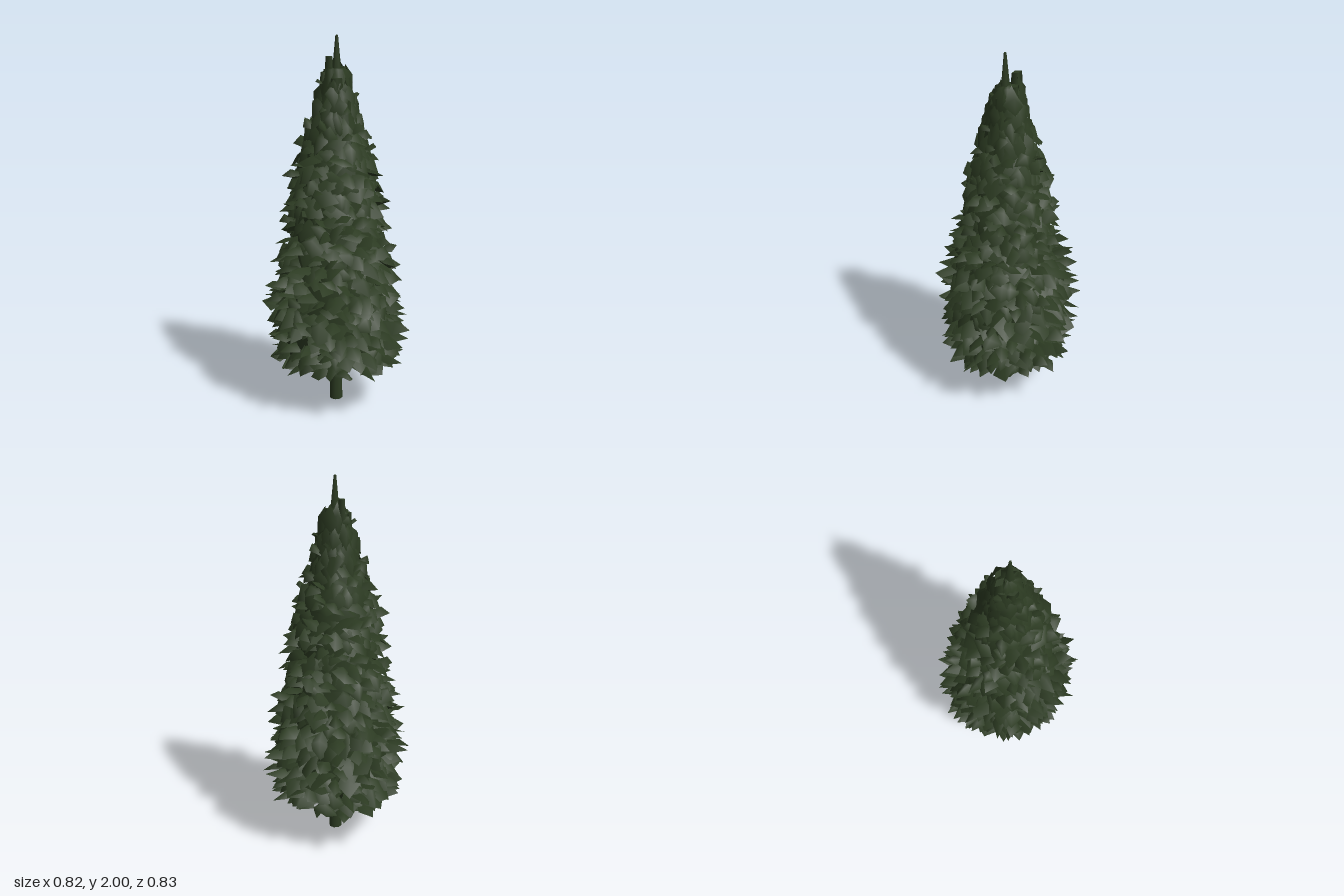
import * as THREE from 'three';

const CX = -0.01, CZ = 0.0;

// outer reach of the branches: [height, radius]
const OUTLINE = [
  [0.24, 0.36], [0.32, 0.40], [0.48, 0.42], [0.66, 0.40], [0.8, 0.385], [0.92, 0.335], [1.08, 0.30],
  [1.28, 0.285], [1.38, 0.245], [1.5, 0.205], [1.62, 0.155], [1.75, 0.12], [1.82, 0.09], [1.9, 0.05],
];

function reach(y) {
  if (y <= OUTLINE[0][0]) return OUTLINE[0][1];
  for (let i = 1; i < OUTLINE.length; i++) {
    const [y0, r0] = OUTLINE[i - 1], [y1, r1] = OUTLINE[i];
    if (y <= y1) return r0 + (r1 - r0) * (y - y0) / (y1 - y0);
  }
  return OUTLINE[OUTLINE.length - 1][1];
}

function seeded(seed) {
  return () => {
    seed = (seed * 1664525 + 1013904223) >>> 0;
    return seed / 4294967296;
  };
}

// one ring of folded, pointed sprays
function sprayRing(y, count, rand) {
  const pos = [], index = [];
  const vary = (a, b) => a + (b - a) * rand();
  const R = reach(y);
  const steep = THREE.MathUtils.smoothstep(y, 1.25, 1.7);
  for (let i = 0; i < count; i++) {
    const angle = (i + vary(-0.45, 0.45)) / count * Math.PI * 2;
    const spike = rand() < 0.22;
    const tipR = R * (spike ? vary(0.92, 1.04) : vary(0.74, 0.93));
    const rootR = R * vary(0.42, 0.62);
    const drop = spike ? vary(-0.03, 0.05) : vary(0.02, 0.13) + steep * 0.05;
    const half = (spike ? vary(0.035, 0.055) : vary(0.05, 0.085)) * (1 - 0.35 * steep);
    const twist = vary(-0.6, 0.6);
    const fold = vary(0.01, 0.04);
    const rise = y + vary(-0.03, 0.03) + drop * 0.5;
    const base = pos.length / 3;
    // along: root to tip, side: across the spray, lift: above it
    const put = (along, side, lift) => {
      const r = rootR + (tipR - rootR) * along + lift * 0.6;
      const s = side * Math.cos(twist);
      const h = Math.max(0.235, Math.min(1.9, rise - drop * along + lift + side * Math.sin(twist)));
      pos.push(CX + Math.cos(angle) * r - Math.sin(angle) * s, h,
        CZ + Math.sin(angle) * r + Math.cos(angle) * s);
    };
    put(0, 0, 0);
    put(vary(0.4, 0.7), half, -fold * 0.4);
    put(0.55, 0, fold);
    put(vary(0.4, 0.7), -half, -fold * 0.4);
    put(1, vary(-0.02, 0.02), 0);
    for (const [a, b, c] of [[0, 1, 2], [0, 2, 3], [1, 4, 2], [2, 4, 3]]) {
      index.push(base + a, base + c, base + b);
    }
  }
  const geo = new THREE.BufferGeometry();
  geo.setAttribute('position', new THREE.Float32BufferAttribute(pos, 3));
  geo.setIndex(index);
  geo.computeVertexNormals();
  return geo;
}

export function createModel() {
  const tree = new THREE.Group();
  tree.name = 'coniferTree';
  const green = new THREE.MeshStandardMaterial({ color: 0x2c3b22, side: THREE.DoubleSide });
  green.name = 'dark needle green';
  const add = (geo, name, x = CX, y = 0, z = CZ) => {
    const mesh = new THREE.Mesh(geo, green);
    mesh.name = name;
    mesh.position.set(x, y, z);
    tree.add(mesh);
    return mesh;
  };

  // trunk
  add(new THREE.CylinderGeometry(0.026, 0.036, 0.6, 8), 'trunk', CX, 0.3, CZ + 0.005);

  // leader shoot at the top
  add(new THREE.CylinderGeometry(0.007, 0.033, 0.26, 5), 'topShoot', CX, 1.87, CZ + 0.012);

  // dense inner foliage, jagged by a ripple
  const profile = [new THREE.Vector2(0.001, 0.34)];
  for (let y = 0.29; y < 1.84; y += 0.11) profile.push(new THREE.Vector2(reach(y) * 0.64, y));
  profile.push(new THREE.Vector2(0.001, 1.84));
  const core = new THREE.LatheGeometry(profile, 18);
  const p = core.attributes.position;
  for (let i = 0; i < p.count; i++) {
    const x = p.getX(i), y = p.getY(i), z = p.getZ(i);
    const k = 1 + 0.1 * Math.sin(Math.atan2(z, x) * 9 + y * 31);
    p.setXYZ(i, x * k, y, z * k);
  }
  core.computeVertexNormals();
  add(core, 'innerFoliage');

  // rings of sprays from the skirt to the crown
  const rand = seeded(77);
  let n = 0;
  for (let y = 0.27; y < 1.78; y += 0.068) {
    const count = Math.max(7, Math.round(reach(y) * 100));
    add(sprayRing(y, count, rand), 'foliageRing' + (++n), 0, 0, 0);
  }

  // upright sprays around the leader
  for (let i = 0; i < 5; i++) {
    const a = i * 2.4 + 1.2;
    const top = 1.79 + (i % 3) * 0.025;
    const r = 0.075 - (i % 3) * 0.012;
    const spray = new THREE.CylinderGeometry(0.028, 0.05, 0.24, 4, 1);
    spray.scale(1, 1, 0.5);
    add(spray, 'crownSpray', CX + Math.cos(a) * r, top - 0.12, CZ + Math.sin(a) * r).rotation.y = -a + Math.PI / 2;
  }
  // tallest spray, behind the leader
  const rear = new THREE.CylinderGeometry(0.03, 0.05, 0.25, 4, 1);
  rear.scale(0.6, 1, 1);
  add(rear, 'rearCrownSpray', CX, 1.765, CZ - 0.055);

  return tree;
}
